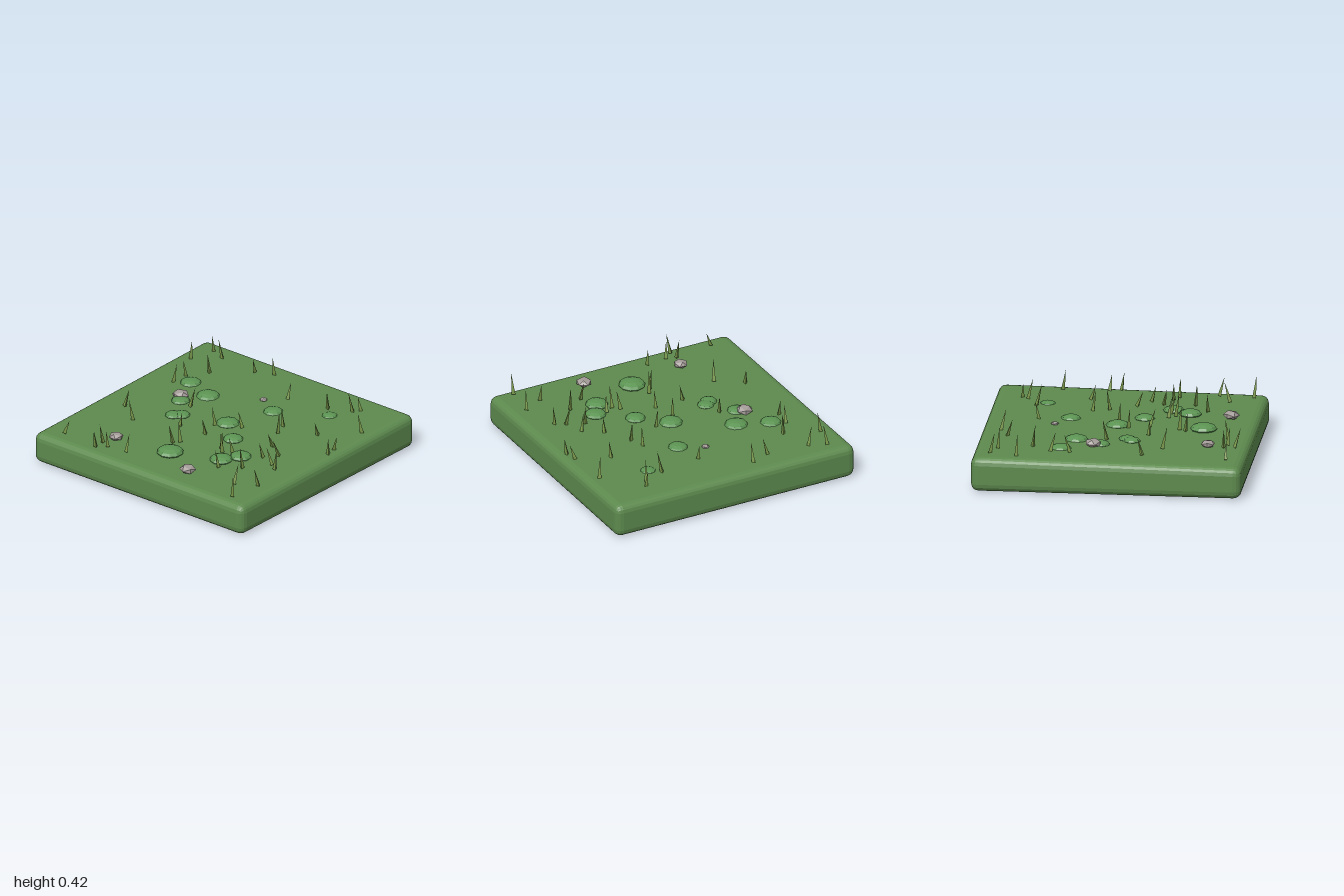
import * as THREE from 'three';
import { RoundedBoxGeometry } from 'three/addons/geometries/RoundedBoxGeometry.js';

const flat = (color) => new THREE.MeshStandardMaterial({ color, flatShading: true });

// x, z, radius of each low moss clump
const MOSS = [
  [-0.62, 0, 0.1], [-0.48, 0.37, 0.085], [-0.35, 0.45, 0.08], [-0.16, 0.22, 0.075],
  [0.02, 0.02, 0.087], [-0.13, -0.375, 0.063], [-0.09, -0.33, 0.063], [0.09, -0.49, 0.07],
  [0.28, -0.385, 0.088], [0.37, -0.625, 0.08], [0.38, 0.155, 0.075], [0.59, 0.52, 0.06],
];

// x, z, radius of each pebble
const PEBBLES = [
  [-0.7, -0.45, 0.053], [0.14, -0.53, 0.062], [-0.79, 0.31, 0.06], [0.48, -0.02, 0.029],
];

// x, z of each grass blade's middle and the compass angle it leans to (0 = +x, 90 = +z)
const BLADES = [
  [-0.87, -0.78, 85], [-0.23, -0.74, 20], [0.31, -0.73, 10], [0.42, -0.72, 180],
  [0.67, -0.87, 110], [0.86, -0.82, 160], [0.82, -0.71, 250], [0.57, -0.62, 190],
  [-0.39, -0.56, 200], [-0.92, -0.47, 160], [-0.82, -0.49, 260], [-0.85, -0.41, 210],
  [-0.82, -0.24, 20], [0.07, -0.36, 30], [-0.24, -0.21, 110], [-0.5, -0.09, 230],
  [-0.45, -0.05, 200], [-0.24, 0.01, 180], [-0.07, -0.04, 220], [0.02, 0.14, 240],
  [0.62, 0.11, 10], [0.78, -0.36, 155], [0.84, -0.22, 170], [-0.34, 0.26, 130],
  [-0.39, 0.3, 170], [-0.35, 0.36, 200], [-0.6, 0.43, 270], [-0.5, 0.58, 220],
  [-0.27, 0.58, 210], [-0.09, 0.52, 190], [0.13, 0.41, 0], [0.23, 0.37, 180],
  [0.65, 0.45, 150], [0.73, 0.61, 200], [0.79, 0.64, 250], [0.27, 0.66, 180],
  [0.51, 0.88, 220], [-0.18, 0.65, 220], [-0.32, 0.7, 260], [-0.36, 0.79, 95],
  [-0.72, 0.71, 10], [-0.91, 0.84, 135], [-0.66, 0.86, 195], [0.08, 0.93, 140],
  [0.17, 0.92, 110],
];

// Bevelled slab whose top sinks gently towards -x
function makeSlab() {
  const h = 0.26;
  const geo = new RoundedBoxGeometry(2, h, 2, 2, 0.058);
  geo.translate(0, h / 2, 0);
  const p = geo.attributes.position;
  for (let i = 0; i < p.count; i++) {
    if (p.getY(i) > h / 2) p.setY(i, p.getY(i) - 0.012 * (1 - p.getX(i)));
  }
  geo.computeVertexNormals();
  const slab = new THREE.Mesh(geo, flat(0x5d8a4e));
  slab.name = 'groundSlab';
  return slab;
}

export function createModel() {
  const model = new THREE.Group();
  model.name = 'grassTile';
  const ground = 0.25;
  const addGroup = (name) => {
    const g = new THREE.Group();
    g.name = name;
    model.add(g);
    return g;
  };
  let seed = 7;
  const rand = () => (seed = (seed * 16807) % 2147483647) / 2147483647;

  model.add(makeSlab());

  // Flattened moss clumps
  const moss = addGroup('mossClumps');
  const mossGeo = new THREE.SphereGeometry(1, 10, 6);
  const mossMat = flat(0x5c9453);
  for (const [x, z, r] of MOSS) {
    const m = new THREE.Mesh(mossGeo, mossMat);
    m.name = 'mossClump';
    m.position.set(x, ground, z);
    m.scale.set(r, r * 0.4, r);
    moss.add(m);
  }

  // Squashed, faceted pebbles
  const pebbles = addGroup('pebbles');
  const pebbleGeo = new THREE.IcosahedronGeometry(1, 0);
  const pebbleMat = flat(0xa39b98);
  PEBBLES.forEach(([x, z, r], i) => {
    const m = new THREE.Mesh(pebbleGeo, pebbleMat);
    m.name = 'pebble';
    m.position.set(x, ground + 0.3 * r, z);
    m.scale.set(r * 1.05, r * 0.56, r * 1.05);
    m.rotation.y = i * 1.3;
    pebbles.add(m);
  });

  // Thin three-sided blades, each tilted about its foot
  const grass = addGroup('grass');
  const bladeGeo = new THREE.ConeGeometry(0.017, 1, 3);
  bladeGeo.translate(0, 0.5, 0);
  const bladeMat = flat(0x78964a);
  const up = new THREE.Vector3(0, 1, 0);
  for (const [x, z, deg] of BLADES) {
    const a = THREE.MathUtils.degToRad(deg);
    const height = 0.12 + 0.06 * rand();
    const lean = 0.015 + 0.035 * rand();
    const m = new THREE.Mesh(bladeGeo, bladeMat);
    m.name = 'grassBlade';
    m.position.set(x - Math.cos(a) * lean * 0.4, ground, z - Math.sin(a) * lean * 0.4);
    const dir = new THREE.Vector3(Math.cos(a) * lean, height, Math.sin(a) * lean).normalize();
    m.quaternion.setFromUnitVectors(up, dir);
    m.rotateY(rand() * Math.PI * 2);
    m.scale.y = height;
    grass.add(m);
  }
  return model;
}
